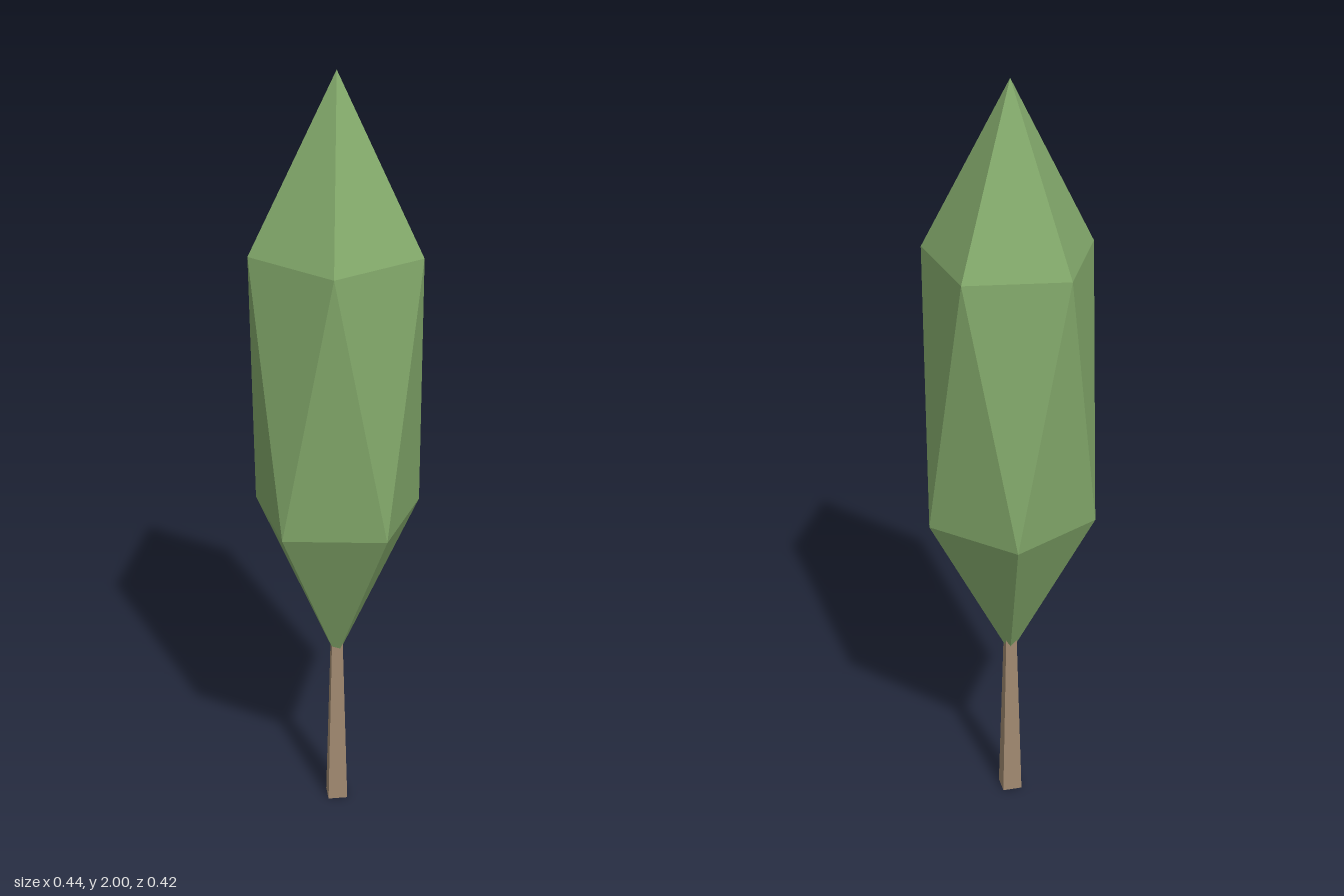
import * as THREE from 'three';

const foliageGreen = new THREE.MeshStandardMaterial({ color: 0x83a96b });
foliageGreen.name = 'foliage green';
const barkBrown = new THREE.MeshStandardMaterial({ color: 0xa08970 });
barkBrown.name = 'bark brown';

// Split shared corners so each face gets its own flat normal
function faceted(geometry) {
  const flat = geometry.index ? geometry.toNonIndexed() : geometry;
  flat.computeVertexNormals();
  return flat;
}

// Tall icosahedron: two apexes joined by two staggered five-sided rings
function crownGeometry(radius, bottomY, topY) {
  const middle = (bottomY + topY) / 2;
  const ringRise = (topY - bottomY) / 2 / Math.sqrt(5);
  const ringPoint = (i, y, turn) => {
    const a = ((i + turn) / 5) * Math.PI * 2;
    return new THREE.Vector3(radius * Math.cos(a), y, radius * Math.sin(a));
  };
  const upper = (i) => ringPoint(i, middle + ringRise, 0);
  const lower = (i) => ringPoint(i, middle - ringRise, 0.5);
  const top = new THREE.Vector3(0, topY, 0);
  const bottom = new THREE.Vector3(0, bottomY, 0);

  const points = [];
  for (let i = 0; i < 5; i++) {
    points.push(
      upper(i), top, upper(i + 1),
      upper(i), upper(i + 1), lower(i),
      lower(i), upper(i + 1), lower(i + 1),
      lower(i), lower(i + 1), bottom
    );
  }
  return faceted(new THREE.BufferGeometry().setFromPoints(points));
}

export function createModel() {
  const tree = new THREE.Group();
  tree.name = 'tree';

  // Tapered square trunk with its corners on the axes
  const trunkHeight = 0.48;
  const trunk = new THREE.Mesh(
    faceted(new THREE.CylinderGeometry(0.02, 0.036, trunkHeight, 4)),
    barkBrown
  );
  trunk.name = 'trunk';
  trunk.position.y = trunkHeight / 2;

  // Slender crown
  const crown = new THREE.Mesh(crownGeometry(0.22, 0.43, 2), foliageGreen);
  crown.name = 'crown';

  tree.add(trunk, crown);
  return tree;
}
